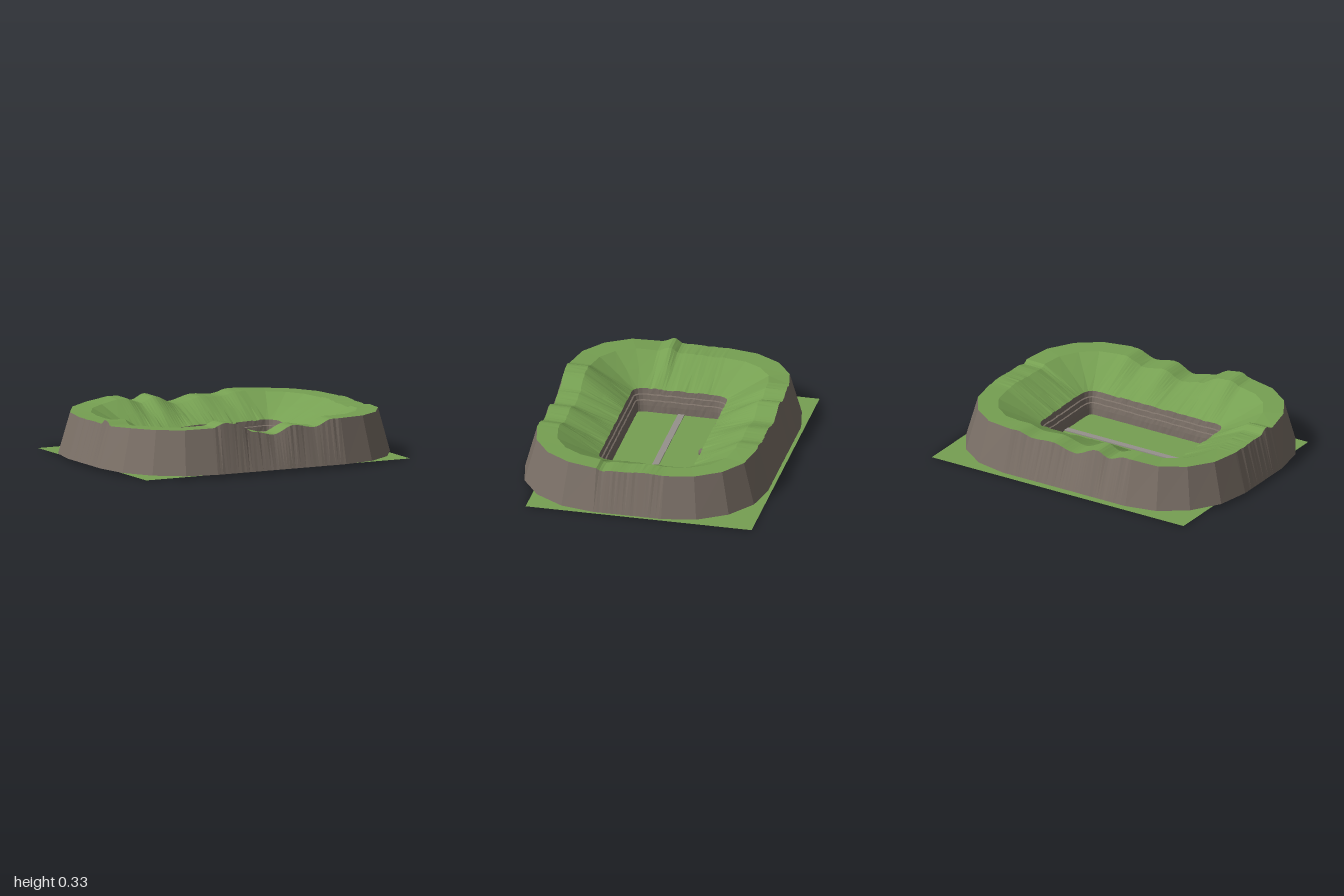
import * as THREE from 'three';

const BASE = 0.02;           // foot of the outer rock face
const LIP = 0.15;            // top edge of the pit
const CX = 0.46, CZ = 0.22;  // shared centre of the rounded corners

const mat = (name, color) =>
  new THREE.MeshStandardMaterial({ name, color, side: THREE.DoubleSide });

// Small repeatable noise, -1..1
const noise = (i, k) => {
  const v = Math.sin(i * 12.9898 + k * 78.233) * 43758.5453;
  return (v - Math.floor(v)) * 2 - 1;
};

// Smoothly interpolated crest height along one side, keyed by x or z
function crest(keys, v) {
  for (let i = 0; i < keys.length - 1; i++) {
    const [a, ha] = keys[i], [b, hb] = keys[i + 1];
    if (v <= b) return ha + (hb - ha) * THREE.MathUtils.smoothstep(v, a, b);
  }
  return keys[keys.length - 1][1];
}
const RIGHT = [[-0.22, 0.287], [-0.1, 0.294], [0.05, 0.285], [0.12, 0.285], [0.19, 0.274], [0.22, 0.292]];
const LEFT = [[-0.22, 0.283], [-0.1, 0.282], [0, 0.285], [0.08, 0.283], [0.14, 0.315], [0.22, 0.285]];
const FRONT = [[-0.46, 0.307], [-0.37, 0.335], [-0.3, 0.325], [-0.15, 0.26], [-0.02, 0.235],
  [0.12, 0.286], [0.27, 0.262], [0.4, 0.305], [0.46, 0.305]];
const BACK = [[-0.46, 0.313], [-0.4, 0.312], [-0.29, 0.278], [-0.2, 0.312], [-0.03, 0.25], [0.14, 0.285],
  [0.28, 0.275], [0.4, 0.3], [0.46, 0.298]];

// Columns around the bank: finely divided straights joined by four-sided corners
function makeColumns() {
  const cols = [];
  const side = (n, x0, z0, x1, z1, nx, nz, keys) => {
    for (let i = 0; i <= n; i++) {
      const x = THREE.MathUtils.lerp(x0, x1, i / n), z = THREE.MathUtils.lerp(z0, z1, i / n);
      cols.push({ x, z, nx, nz, h: crest(keys, nx ? z : x), rough: i > 0 && i < n ? 1 : 0 });
    }
  };
  const corner = (x, z, start, h0, h1) => {
    for (let i = 1; i < 4; i++) {
      const a = (start + i / 4) * Math.PI / 2;
      cols.push({ x, z, nx: Math.cos(a), nz: Math.sin(a), h: h0 + (h1 - h0) * i / 4, rough: 0 });
    }
  };
  side(24, CX, -CZ, CX, CZ, 1, 0, RIGHT);
  corner(CX, CZ, 0, 0.297, 0.305);
  side(48, CX, CZ, -CX, CZ, 0, 1, FRONT);
  corner(-CX, CZ, 1, 0.305, 0.295);
  side(24, -CX, CZ, -CX, -CZ, -1, 0, LEFT);
  corner(-CX, -CZ, 2, 0.28, 0.3);
  side(48, -CX, -CZ, CX, -CZ, 0, -1, BACK);
  corner(CX, -CZ, 3, 0.292, 0.287);
  return cols;
}

// Ring of points: outward reach rx / rz from the corner centres, height rule, jitter
const ring = (cols, rx, rz, height, jitter, seed) => cols.map((c, i) => {
  const j = c.rough * jitter * noise(i, seed);
  return new THREE.Vector3(c.x + c.nx * (rx + j), height(c, i), c.z + c.nz * (rz + j));
});

// Faceted closed band joining consecutive rings
function band(rings) {
  const pos = [];
  for (let k = 0; k < rings.length - 1; k++) {
    const a = rings[k], b = rings[k + 1], n = a.length;
    for (let i = 0; i < n; i++) {
      const j = (i + 1) % n;
      for (const p of [a[i], b[i], a[j], b[i], b[j], a[j]]) pos.push(p.x, p.y, p.z);
    }
  }
  const geo = new THREE.BufferGeometry();
  geo.setAttribute('position', new THREE.Float32BufferAttribute(pos, 3));
  geo.computeVertexNormals();
  return geo;
}

export function createModel() {
  const group = new THREE.Group();
  const grass = mat('grass green', 0x76a052);
  const rock = mat('rock brown', 0x7b7067);
  const path = mat('path grey', 0x96918c);
  const add = (name, geo, material, x, y, z) => {
    const mesh = new THREE.Mesh(geo, material);
    mesh.name = name;
    mesh.position.set(x, y, z);
    group.add(mesh);
    return mesh;
  };
  const SHIFT = 0.005; // the bank sits slightly forward

  // Flat ground sheet, slightly off centre, also the pit floor
  add('ground', new THREE.PlaneGeometry(1.89, 1.47).rotateX(-Math.PI / 2), grass, 0.037, 0, -0.065);

  // Leaning outer rock face
  const cols = makeColumns();
  const foot = ring(cols, 0.539, 0.57, () => BASE, 0.001, 1);
  const rim = ring(cols, 0.463, 0.492, c => c.h, 0.003, 2);
  add('outerWall', band([foot, rim]), rock, 0, 0, SHIFT);

  // Grassy crest and slope falling to the pit
  const crestInner = ring(cols, 0.33, 0.357, (c, i) => c.h - 0.002 + c.rough * 0.002 * noise(i, 3), 0.003, 3);
  const slope = ring(cols, 0.193, 0.223, (c, i) => (c.h + LIP) / 2 + c.rough * 0.003 * noise(i, 4), 0.003, 4);
  const lip = ring(cols, 0.056, 0.089, (c, i) => LIP + c.rough * 0.004 * noise(i >> 1, 5), 0.002, 5);
  add('grassBank', band([rim, crestInner, slope, lip]), grass, 0, 0, SHIFT);

  // Stepped rock sides of the pit: inset from the lip and height
  const steps = [[0.005, 0.115], [0.014, 0.111], [0.018, 0.08], [0.026, 0.076], [0.03, 0.045], [0.032, 0]];
  add('pitWall', band([lip, ...steps.map(([d, y], k) =>
    ring(cols, 0.056 - d, 0.089 - d, (c, i) => y + (y > BASE ? c.rough * 0.002 * noise(i >> 1, 6) : 0), 0.001, 7 + k))]),
  rock, 0, 0, SHIFT);

  // Straight path across the pit floor
  add('path', new THREE.BoxGeometry(0.97, 0.006, 0.042), path, 0, 0.003, 0.001);

  // Boulder by the back wall
  add('boulder', new THREE.IcosahedronGeometry(0.028, 1), rock, 0.08, 0.045, -0.27);

  return group;
}
